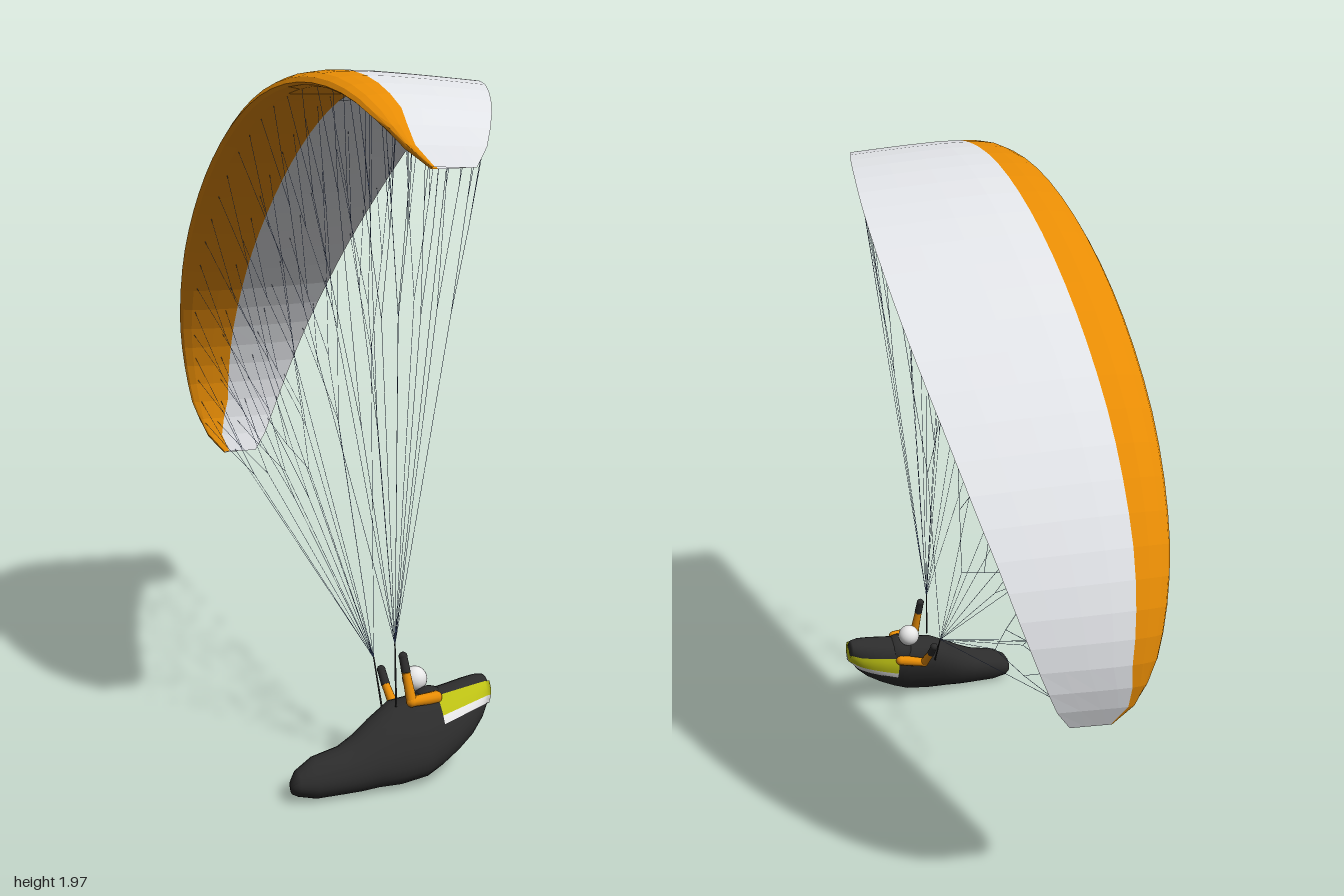
import * as THREE from 'three';
import { mergeGeometries } from 'three/addons/utils/BufferGeometryUtils.js';

const V = (x, y, z) => new THREE.Vector3(x, y, z);
const mat = (name, color, side = THREE.FrontSide) => {
  const m = new THREE.MeshStandardMaterial({ color, side });
  m.name = name;
  return m;
};

// Piecewise linear lookup in rows of [key, ...values]
function lookup(table, k) {
  let i = 0;
  while (i < table.length - 2 && k > table[i + 1][0]) i++;
  const a = table[i], b = table[i + 1];
  const t = THREE.MathUtils.clamp((k - a[0]) / (b[0] - a[0]), 0, 1);
  return a.slice(1).map((v, n) => v + (b[n + 1] - v) * t);
}

// Skin stretched over rows of points
function loft(rows, flat = false) {
  const n = rows[0].length, index = [];
  for (let i = 0; i < rows.length - 1; i++) {
    for (let j = 0; j < n - 1; j++) {
      const a = i * n + j, b = a + n;
      index.push(a, b, a + 1, b, b + 1, a + 1);
    }
  }
  let g = new THREE.BufferGeometry().setFromPoints(rows.flat());
  g.setIndex(index);
  if (flat) g = g.toNonIndexed();
  g.computeVertexNormals();
  return g;
}

// Straight round bar between two points
function rod(a, b, r0, r1 = r0, sides = 3) {
  const d = b.clone().sub(a), len = d.length();
  const g = new THREE.CylinderGeometry(r1, r0, len, sides, 1, sides < 6);
  g.applyQuaternion(new THREE.Quaternion().setFromUnitVectors(V(0, 1, 0), d.normalize()));
  const c = a.clone().lerp(b, 0.5);
  return g.translate(c.x, c.y, c.z);
}

// Leading and trailing edge x, by height on the arch
const PLAN = [[0, -0.085, 0.035], [0.1, -0.138, 0.08], [0.27, -0.188, 0.13],
  [0.62, -0.247, 0.225], [0.87, -0.28, 0.30], [1, -0.292, 0.345]];
// Wing section: chord fraction and depth below the crest
const NOSE = [[0.4, 0.057], [0.25, 0.058], [0.08, 0.056], [0.02, 0.049], [0, 0.04],
  [0.02, 0.022], [0.07, 0.008], [0.15, 0.001], [0.24, 0]];
const REAR = [[0.24, 0], [0.4, 0.003], [0.6, 0.012], [0.8, 0.023], [1, 0.035],
  [0.8, 0.044], [0.6, 0.051], [0.4, 0.057]];

// Point on the arched wing; angle runs from one tip (0) to the other (PI)
function wingPoint(angle, [f, depth]) {
  const c = Math.cos(angle), s = Math.max(0, Math.sin(angle));
  const [front, back] = lookup(PLAN, s);
  const chord = back - front;
  const n = V(0, s / 0.65, c / 1.13).normalize();
  // The colour seam runs out towards the leading edge at the tips
  const along = f ** (1 + Math.max(0, 1 - s / 0.25));
  return V(front + along * chord, 1.135 + 0.65 * s, 1.13 * c - 0.009)
    .addScaledVector(n, -depth * chord / 0.63);
}

// Harness pod sections: x, centre height, half height, half width
const POD = [[-0.35, -0.171, 0, 0], [-0.346, -0.171, 0.02, 0.024], [-0.33, -0.163, 0.036, 0.04],
  [-0.28, -0.154, 0.057, 0.052], [-0.2, -0.144, 0.066, 0.058], [-0.15, -0.13, 0.079, 0.063],
  [-0.1, -0.11, 0.095, 0.068], [-0.03, -0.088, 0.117, 0.072], [0.05, -0.077, 0.116, 0.072],
  [0.1, -0.06, 0.108, 0.069], [0.15, -0.04, 0.097, 0.064], [0.2, -0.016, 0.083, 0.056],
  [0.24, 0.009, 0.064, 0.046], [0.264, 0.028, 0.043, 0.034], [0.271, 0.032, 0.033, 0.025],
  [0.273, 0.032, 0, 0]];

// Stripe wrapping round the rear of the pod between two sloping heights
function podStripe(lo0, lo1, hi0, hi1) {
  const rows = [], N = 16;
  const at = (x, side, t) => {
    const k = (x - 0.1) / 0.168;
    const u = THREE.MathUtils.lerp(lo0 + (lo1 - lo0) * k, hi0 + (hi1 - hi0) * k, t);
    const [yc, h, w] = lookup(POD, x);
    const q = Math.min(1, Math.abs(u - yc) / h);
    return V(x + (x > 0.26 ? 0.007 : 0), u, side * (w * Math.sqrt(1 - q * q) + 0.003));
  };
  for (const side of [1, -1]) {
    for (let i = 0; i <= N; i++) {
      const x = 0.1 + 0.168 * (side > 0 ? i : N - i) / N;
      rows.push([0, 0.25, 0.5, 0.75, 1].map(t => at(x, side, t)));
    }
  }
  return loft(rows);
}

export function createModel() {
  const orange = mat('orange fabric', 0xec8f05, THREE.DoubleSide);
  const pale = mat('pale grey fabric', 0xe0e2e6, THREE.DoubleSide);
  const black = mat('black fabric', 0x2c2c2c);
  const lime = mat('lime stripe', 0xbcc014, THREE.DoubleSide);
  const white = mat('white', 0xe8e8e8, THREE.DoubleSide);
  const cord = mat('slate blue cord', 0x566a9a);

  const model = new THREE.Group();
  model.name = 'paraglider';
  // Everything is built upright, then banked about the flight axis
  const craft = new THREE.Group();
  craft.name = 'bankedCraft';
  craft.position.set(0, 0.193, 0.605);
  craft.rotation.x = -Math.PI / 6;
  model.add(craft);
  const add = (name, geometry, material, parent = craft) => {
    const m = new THREE.Mesh(geometry, material);
    m.name = name;
    parent.add(m);
    return m;
  };

  // Canopy: coloured nose and pale rear
  const SPAN = 32;
  const skin = profile => loft(Array.from({ length: SPAN + 1 },
    (_, i) => profile.map(p => wingPoint(Math.PI * i / SPAN, p))), true);
  add('canopyLeadingEdge', skin(NOSE), orange);
  add('canopyRear', skin(REAR), pale);

  // Suspension lines: each main line splits in two, then in two again
  const lines = [], R = 0.0008;
  for (const side of [1, -1]) {
    const riser = V(-0.015, 0.168, side * 0.098);
    const tip = a => side > 0 ? a : Math.PI - a;
    const mean = pts => pts.reduce((a, p) => a.add(p), V(0, 0, 0)).divideScalar(pts.length);
    // Chord fraction, depth and height of the middle fork for each row
    for (const row of [[0.1, 0.056, 0.4], [0.32, 0.058, 0.4], [0.6, 0.051, 0.6], [0.97, 0.037, 0.6]]) {
      for (let g = 0; g < 3; g++) {
        const ends = [0, 1, 2, 3].map(k =>
          wingPoint(tip(THREE.MathUtils.degToRad(10 + (g * 4 + k) * 6.9)), row));
        const fork = riser.clone().lerp(mean(ends), g === 1 ? row[2] : 0.64);
        lines.push(rod(riser, fork, R));
        for (const pair of [ends.slice(0, 2), ends.slice(2)]) {
          const split = riser.clone().lerp(mean(pair), 0.82);
          lines.push(rod(fork, split, R));
          for (const e of pair) lines.push(rod(split, e, R));
        }
      }
    }
    lines.push(rod(riser, wingPoint(tip(0.01), [0.6, 0.05]), R));
  }
  add('suspensionLines', mergeGeometries(lines), cord);

  // Harness pod, slightly squared in section
  const soft = v => Math.sign(v) * Math.abs(v) ** 0.9;
  const ring = ([x, yc, h, w]) => Array.from({ length: 25 }, (_, j) => {
    const a = j / 24 * Math.PI * 2;
    return V(x, yc + h * soft(Math.sin(a)), w * soft(Math.cos(a)));
  });
  add('harnessPod', loft(POD.map(ring)), black);
  add('podWhiteStripe', podStripe(-0.066, -0.014, -0.042, 0.005), white);
  add('podLimeStripe', podStripe(-0.042, 0.005, 0.018, 0.045), lime);

  // Pilot
  const pilot = new THREE.Group();
  pilot.name = 'pilot';
  craft.add(pilot);
  add('helmet', new THREE.SphereGeometry(0.036, 20, 14), white, pilot).position.set(0.062, 0.081, 0);
  const torso = add('torso', new THREE.SphereGeometry(0.05, 16, 12), black, pilot);
  torso.position.set(0.09, 0.012, 0);
  torso.scale.set(1, 0.9, 1.1);

  // Arms, gloves and risers, mirrored
  for (const side of [1, -1]) {
    const arm = new THREE.Group();
    arm.name = side > 0 ? 'leftArm' : 'rightArm';
    pilot.add(arm);
    const shoulder = V(0.095, 0.014, side * 0.054), elbow = V(0.014, 0.008, side * 0.071);
    const wrist = V(0.005, 0.086, side * 0.092), hand = V(0.002, 0.132, side * 0.099);
    const ball = (p, r) => new THREE.SphereGeometry(r, 10, 8).translate(p.x, p.y, p.z);
    add('sleeve', mergeGeometries([rod(shoulder, elbow, 0.018, 0.015, 10), ball(elbow, 0.016),
      ball(shoulder, 0.018), rod(elbow, wrist, 0.015, 0.012, 10)]), orange, arm);
    add('glove', mergeGeometries([rod(wrist, hand, 0.013, 0.012, 10), ball(hand, 0.013)]), black, arm);
    add('riser', rod(V(-0.03, 0, side * 0.06), V(-0.015, 0.17, side * 0.098), 0.003, 0.002, 6), black, arm);
  }
  return model;
}
